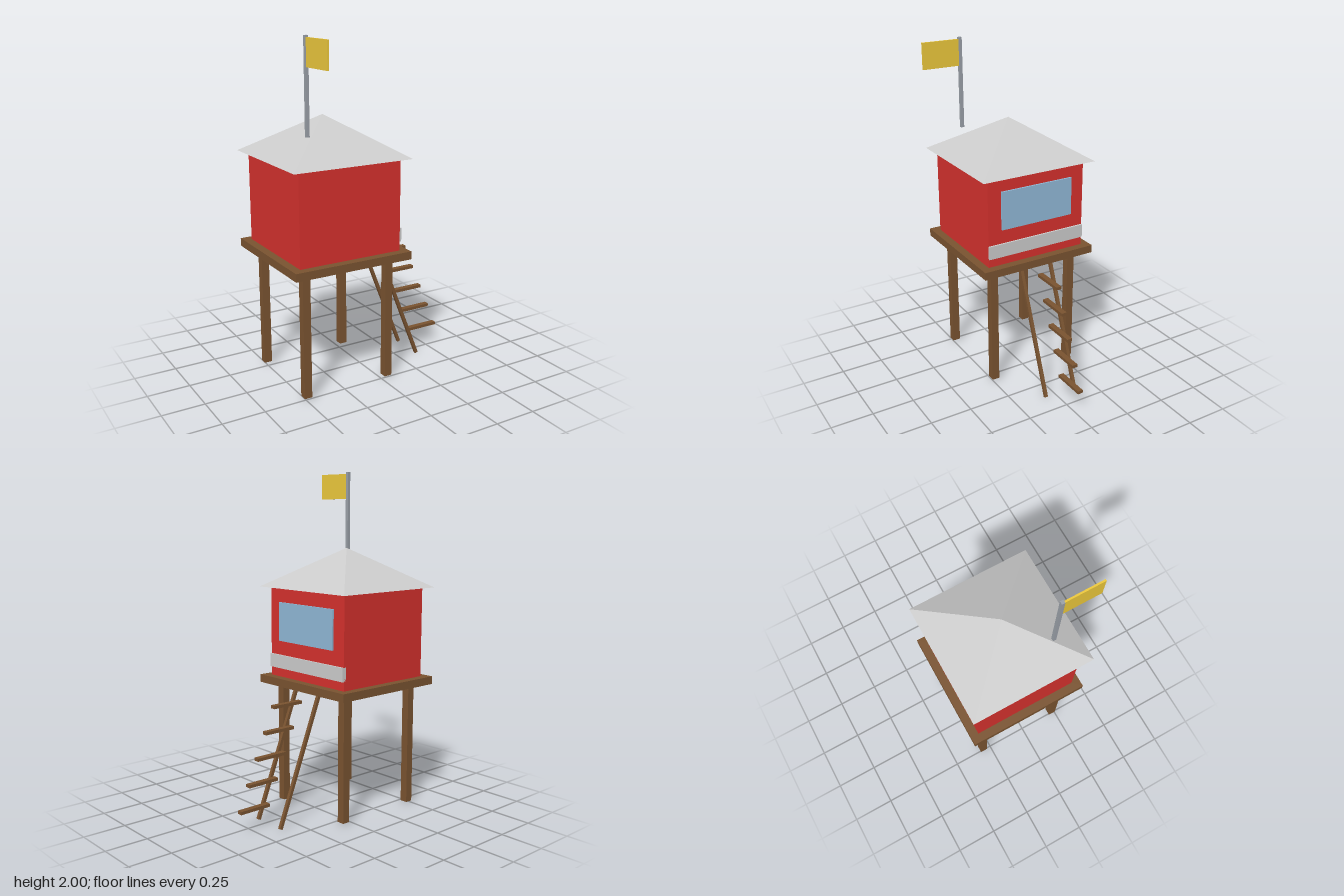
import * as THREE from 'three';

const material = (color) => new THREE.MeshStandardMaterial({ color, flatShading: true });

export function createModel() {
  const group = new THREE.Group();
  const wood = material(0x795330);
  const red = material(0xd5312d);
  const grey = material(0xcccccc);
  const glass = material(0x90b8d6);
  const metal = material(0x9aa0a8);
  const yellow = material(0xecc83c);

  // Centre of the tower
  const cx = -0.22, cz = -0.035;

  function box(name, mat, size, pos) {
    const mesh = new THREE.Mesh(new THREE.BoxGeometry(...size), mat);
    mesh.name = name;
    mesh.position.set(...pos);
    group.add(mesh);
    return mesh;
  }

  // Legs and platform
  for (const sx of [-1, 1]) {
    for (const sz of [-1, 1]) {
      box('leg', wood, [0.046, 0.734, 0.046], [cx + sx * 0.265, 0.376, cz + sz * 0.265]);
    }
  }
  box('platform', wood, [0.73, 0.047, 0.73], [cx, 0.766, cz]);

  // Cabin with window and trim band on the ladder side
  box('cabin', red, [0.632, 0.534, 0.632], [cx, 1.056, cz]);
  box('window', glass, [0.026, 0.23, 0.464], [0.094, 1.122, cz]);
  box('trimBand', grey, [0.026, 0.08, 0.632], [0.094, 0.882, cz]);

  // Pyramid roof
  const roofGeometry = new THREE.ConeGeometry(0.365 * Math.SQRT2, 0.23, 4);
  roofGeometry.rotateY(Math.PI / 4);
  const roof = new THREE.Mesh(roofGeometry, grey);
  roof.name = 'roof';
  roof.position.set(cx, 1.438, cz);
  group.add(roof);

  // Flagpole and flag
  box('flagpole', metal, [0.019, 0.528, 0.019], [-0.42, 1.736, 0.165]);
  box('flag', yellow, [0.01, 0.152, 0.23], [-0.42, 1.914, 0.285]);

  // Ladder rails, leaning from the ground to the platform
  const foot = new THREE.Vector2(0.376, 0.004);
  const head = new THREE.Vector2(0.079, 0.757);
  const lean = head.clone().sub(foot);
  for (const sz of [-1, 1]) {
    const rail = box('ladderRail', wood, [0.019, lean.length(), 0.019],
      [(foot.x + head.x) / 2, (foot.y + head.y) / 2, cz + sz * 0.1]);
    rail.rotation.z = Math.atan2(-lean.x, lean.y);
  }

  // Ladder steps
  for (let i = 0; i < 5; i++) {
    box('ladderStep', wood, [0.2, 0.018, 0.033], [0.483 - i * 0.06, 0.124 + i * 0.14, cz]);
  }

  return group;
}
